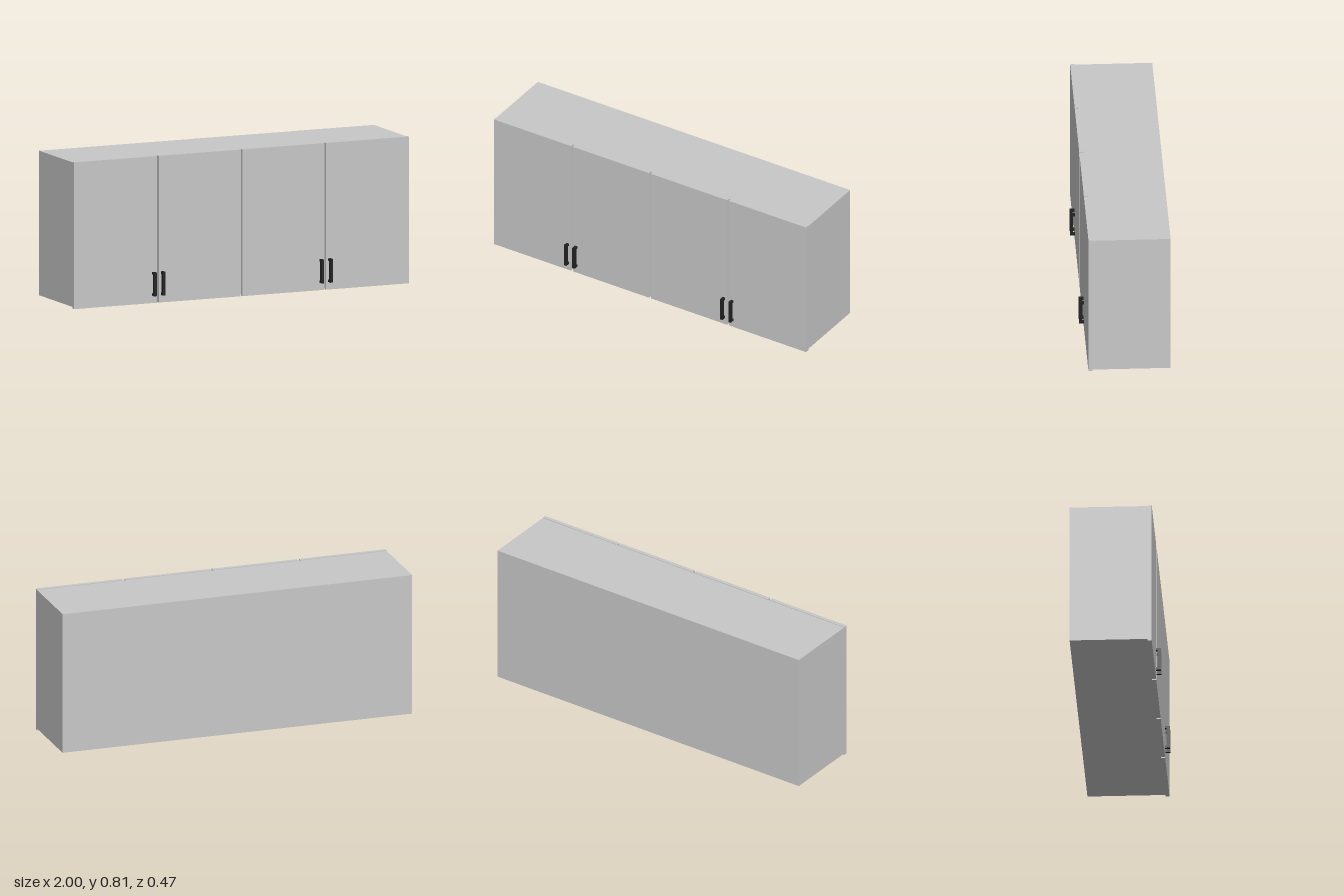
import * as THREE from 'three';

export function createModel() {
  const model = new THREE.Group();
  model.name = 'wallCabinet';

  const grey = new THREE.MeshStandardMaterial({ color: 0xc8c8c8 });
  grey.name = 'cabinet grey';
  const black = new THREE.MeshStandardMaterial({ color: 0x222222 });
  black.name = 'handle black';

  // Box given by its minimum and maximum corners
  function box(name, material, [x0, y0, z0], [x1, y1, z1], parent = model) {
    const geometry = new THREE.BoxGeometry(x1 - x0, y1 - y0, z1 - z0);
    const mesh = new THREE.Mesh(geometry, material);
    mesh.position.set((x0 + x1) / 2, (y0 + y1) / 2, (z0 + z1) / 2);
    mesh.name = name;
    parent.add(mesh);
  }

  // Carcass behind the doors
  box('carcass', grey, [-1, 0.009, -0.236], [1, 0.802, 0.187]);

  // Four doors separated by narrow gaps
  const gap = 0.006;
  for (let i = 0; i < 4; i++) {
    const x0 = -1 + i * 0.5 + (i > 0 ? gap : 0);
    const x1 = -0.5 + i * 0.5 - (i < 3 ? gap : 0);
    box('door', grey, [x0, 0, 0.187], [x1, 0.805, 0.209]);
  }

  // Pairs of bar handles beside the outer gaps
  for (const centre of [-0.5, 0.5]) {
    for (const side of [-1, 1]) {
      const handle = new THREE.Group();
      handle.name = 'handle';
      handle.position.x = centre + side * 0.0265;
      const w = 0.008;
      box('handleBar', black, [-w, 0.041, 0.219], [w, 0.171, 0.236], handle);
      box('handleLowerPost', black, [-w, 0.041, 0.209], [w, 0.054, 0.219], handle);
      box('handleUpperPost', black, [-w, 0.158, 0.209], [w, 0.171, 0.219], handle);
      model.add(handle);
    }
  }

  return model;
}
